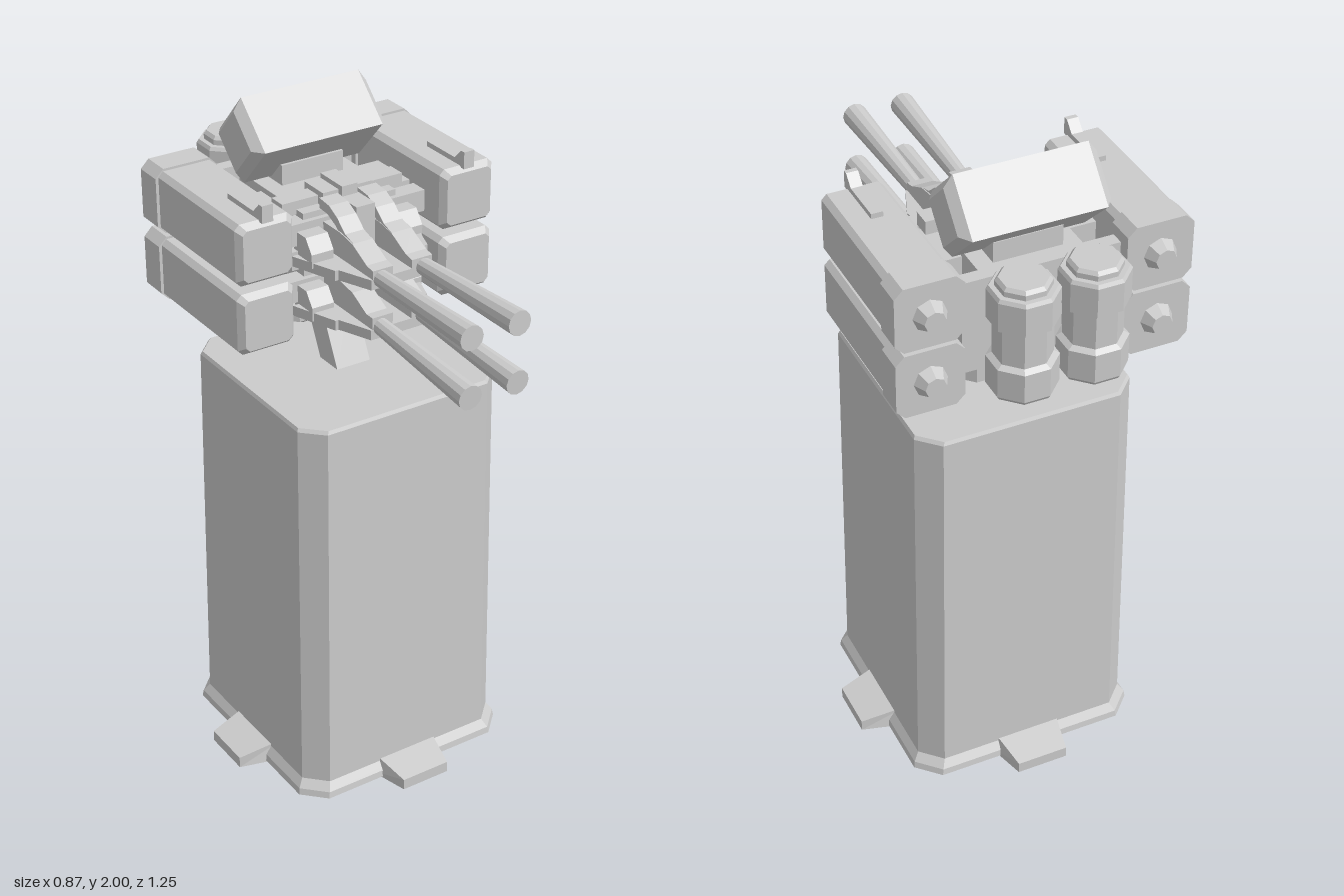
import * as THREE from 'three';

const mat = new THREE.MeshStandardMaterial({ color: 0xcccccc, flatShading: true, side: THREE.DoubleSide });

// Stack of chamfered rectangles along y: sections are [y, halfX, halfZ, chamfer]
function loft(sections) {
  const pos = [], idx = [], n = 8;
  for (const [y, a, b, c] of sections) {
    const ring = [[c - a, b], [a - c, b], [a, b - c], [a, c - b], [a - c, -b], [c - a, -b], [-a, c - b], [-a, b - c]];
    for (const [x, z] of ring) pos.push(x, y, z);
  }
  const last = (sections.length - 1) * n;
  for (let s = 0; s < last; s += n) {
    for (let i = 0; i < n; i++) {
      const j = (i + 1) % n;
      idx.push(s + i, s + j, s + n + j, s + i, s + n + j, s + n + i);
    }
  }
  for (let i = 1; i < n - 1; i++) idx.push(0, i + 1, i, last, last + i, last + i + 1);
  let g = new THREE.BufferGeometry();
  g.setAttribute('position', new THREE.Float32BufferAttribute(pos, 3));
  g.setIndex(idx);
  g = g.toNonIndexed();
  g.computeVertexNormals();
  return g;
}

// Side profile given as [z, y] points, extruded across x and centred on it
function profile(points, width, bevel = 0) {
  const shape = new THREE.Shape(points.map(([z, y]) => new THREE.Vector2(-z, y)));
  const g = new THREE.ExtrudeGeometry(shape, {
    depth: width - 2 * bevel, bevelEnabled: bevel > 0, bevelSize: bevel,
    bevelThickness: bevel, bevelOffset: -bevel, bevelSegments: 1,
  });
  return g.translate(0, 0, bevel - width / 2).rotateY(Math.PI / 2);
}

// Plan outline given as [x, z] points, extruded from y0 to y1
function plan(points, y0, y1) {
  const shape = new THREE.Shape(points.map(([x, z]) => new THREE.Vector2(x, -z)));
  return new THREE.ExtrudeGeometry(shape, { depth: y1 - y0, bevelEnabled: false }).rotateX(-Math.PI / 2).translate(0, y0, 0);
}

export function createModel() {
  const root = new THREE.Group();
  const add = (name, g, x = 0, y = 0, z = 0, parent = root) => {
    const m = new THREE.Mesh(g, mat);
    m.name = name;
    m.position.set(x, y, z);
    parent.add(m);
    return m;
  };
  const box = (name, x0, x1, y0, y1, z0, z1, parent) =>
    add(name, new THREE.BoxGeometry(x1 - x0, y1 - y0, z1 - z0), (x0 + x1) / 2, (y0 + y1) / 2, (z0 + z1) / 2, parent);

  // Pedestal with a flared skirt
  add('pedestal', loft([
    [0.005, 0.355, 0.355, 0.065], [0.025, 0.352, 0.352, 0.065], [0.05, 0.335, 0.335, 0.06],
    [1.23, 0.325, 0.325, 0.06], [1.24, 0.32, 0.32, 0.06],
  ]), 0, 0, -0.085);

  // Four feet, narrower and lower at the outer end
  for (let i = 0; i < 4; i++) {
    const g = new THREE.BoxGeometry(0.23, 0.065, 0.135).translate(0, 0.0325, 0.3675);
    const p = g.attributes.position;
    for (let k = 0; k < p.count; k++) {
      if (p.getZ(k) > 0.4) {
        p.setX(k, p.getX(k) * 0.68);
        if (p.getY(k) > 0.01) p.setY(k, 0.035);
      } else if (p.getY(k) > 0.01) p.setX(k, p.getX(k) * 0.9);
    }
    g.computeVertexNormals();
    add('foot', g, 0, 0, -0.085).rotation.y = i * Math.PI / 2;
  }

  // Leaning neck
  add('neck', profile([[-0.04, 1.235], [-0.13, 1.235], [-0.23, 1.44], [-0.14, 1.44]], 0.11));

  // Turret core, bottom tray and rear plate
  add('tray', loft([[1.41, 0.19, 0.17, 0.04], [1.425, 0.215, 0.19, 0.04], [1.475, 0.215, 0.19, 0.04]]), 0, 0, -0.235);
  box('core', -0.15, 0.15, 1.45, 1.74, -0.42, -0.06);
  box('rearPlate', -0.225, 0.225, 1.48, 1.76, -0.44, -0.40);
  box('spine', -0.03, 0.03, 1.42, 1.76, -0.2, 0.02);
  box('midDeck', -0.2, 0.2, 1.59, 1.645, -0.38, -0.04);
  for (const y of [1.69, 1.52]) box('crossBeam', -0.25, 0.25, y - 0.032, y + 0.032, -0.1, -0.045);
  box('topBar', -0.195, 0.195, 1.725, 1.765, -0.15, -0.095);
  box('topHinge', -0.025, 0.025, 1.72, 1.79, -0.17, -0.06);

  // Gun cradles tapering forward
  const cradle = [[-0.2, -0.04], [0.2, -0.04], [0.15, 0.1], [0.14, 0.1], [0.1, 0.2], [-0.1, 0.2], [-0.14, 0.1], [-0.15, 0.1]];
  add('upperCradle', plan(cradle, 1.605, 1.635));
  add('lowerCradle', plan(cradle, 1.455, 1.485));

  // Sensor box, turned on its edge, with bevelled ends
  add('sensorBox', profile([[-0.31, 2.0], [-0.185, 1.88], [-0.305, 1.75], [-0.43, 1.87]], 0.43, 0.025));
  box('sensorMount', -0.1, 0.1, 1.72, 1.8, -0.36, -0.25);

  for (const s of [-1, 1]) {
    const side = new THREE.Group();
    side.name = s > 0 ? 'leftSide' : 'rightSide';
    root.add(side);

    // Two stacked missile pods with rear block and nozzle
    for (const y of [1.715, 1.51]) {
      const pod = new THREE.Group();
      pod.name = 'pod';
      pod.position.set(s * 0.326, y, 0);
      side.add(pod);
      add('podTube', loft([[-0.4, 0.088, 0.09, 0.015], [0.025, 0.088, 0.09, 0.015], [0.045, 0.073, 0.075, 0.012]])
        .rotateX(Math.PI / 2), 0, 0, 0, pod);
      add('podRearBlock', loft([[-0.47, 0.097, 0.097, 0.025], [-0.385, 0.097, 0.097, 0.025]])
        .rotateX(Math.PI / 2), 0, 0, 0, pod);
      add('podNozzle', new THREE.CylinderGeometry(0.048, 0.03, 0.035, 8).rotateX(Math.PI / 2), 0, 0, -0.487, pod);
      const arm = add('podArm', new THREE.BoxGeometry(0.1, 0.06, 0.16), -s * 0.125, -0.02, -0.2, pod);
      arm.rotation.x = 0;
    }

    // Sight rail on the upper pod
    add('sightRail', profile([
      [0.045, 1.8], [0.045, 1.85], [0.03, 1.85], [0.0, 1.82], [-0.135, 1.82], [-0.135, 1.8],
    ], 0.034), s * 0.323);

    // Tank with two raised bands
    const tank = [[0, 1.46], [0.062, 1.46], [0.07, 1.475], [0.084, 1.475], [0.09, 1.485], [0.09, 1.57], [0.075, 1.58],
      [0.075, 1.68], [0.09, 1.69], [0.09, 1.775], [0.084, 1.785], [0.07, 1.785], [0.07, 1.8], [0.062, 1.81], [0, 1.81]];
    add('tank', new THREE.LatheGeometry(tank.map(([r, y]) => new THREE.Vector2(r * 1.06, y)), 8, Math.PI / 8),
      s * 0.1, 0, -0.537, side);
    box('tankBracket', s * 0.1 - 0.04, s * 0.1 + 0.04, 1.53, 1.74, -0.5, -0.43, side);

    // Barrels flare toward the muzzle and splay slightly apart
    for (const [y0, y1] of [[1.632, 1.643], [1.49, 1.47]]) {
      const a = new THREE.Vector3(s * 0.068, y0, 0.18), b = new THREE.Vector3(s * 0.075, y1, 0.624);
      const d = b.clone().sub(a);
      const barrel = add('barrel', new THREE.CylinderGeometry(0.036, 0.024, d.length(), 12), 0, 0, 0, side);
      barrel.position.copy(a).add(b).multiplyScalar(0.5);
      barrel.quaternion.setFromUnitVectors(new THREE.Vector3(0, 1, 0), d.normalize());
    }

    // Receivers with wedge tops
    add('upperReceiver', profile([
      [0.2, 1.605], [0.2, 1.66], [0.17, 1.665], [0.1, 1.7], [0.04, 1.71], [-0.06, 1.71], [-0.06, 1.605],
    ], 0.065), s * 0.063, 0, 0, side);
    add('lowerReceiver', profile([
      [0.2, 1.46], [0.2, 1.52], [0.17, 1.52], [0.1, 1.555], [0.04, 1.565], [-0.06, 1.565], [-0.06, 1.45],
    ], 0.065), s * 0.063, 0, 0, side);

    // Curved feed chute running from the top hinge down to the receiver
    add('feedChute', profile([
      [-0.07, 1.74], [-0.07, 1.77], [-0.02, 1.765], [0.02, 1.745], [0.06, 1.712], [0.1, 1.7],
      [0.1, 1.675], [0.05, 1.69], [0.01, 1.72], [-0.03, 1.738],
    ], 0.06), s * 0.062, 0, 0, side);
    box('chuteBlock', s * 0.055 - 0.025, s * 0.055 + 0.025, 1.73, 1.78, -0.165, -0.07, side);

    // Ammunition boxes beside the receivers
    for (const y of [1.65, 1.49]) {
      add('ammoBox', profile([[-0.06, -0.03], [0.03, -0.03], [0.03, 0.01], [0.0, 0.05], [-0.06, 0.05]], 0.07),
        s * 0.145, y, 0, side);
    }
  }
  return root;
}
